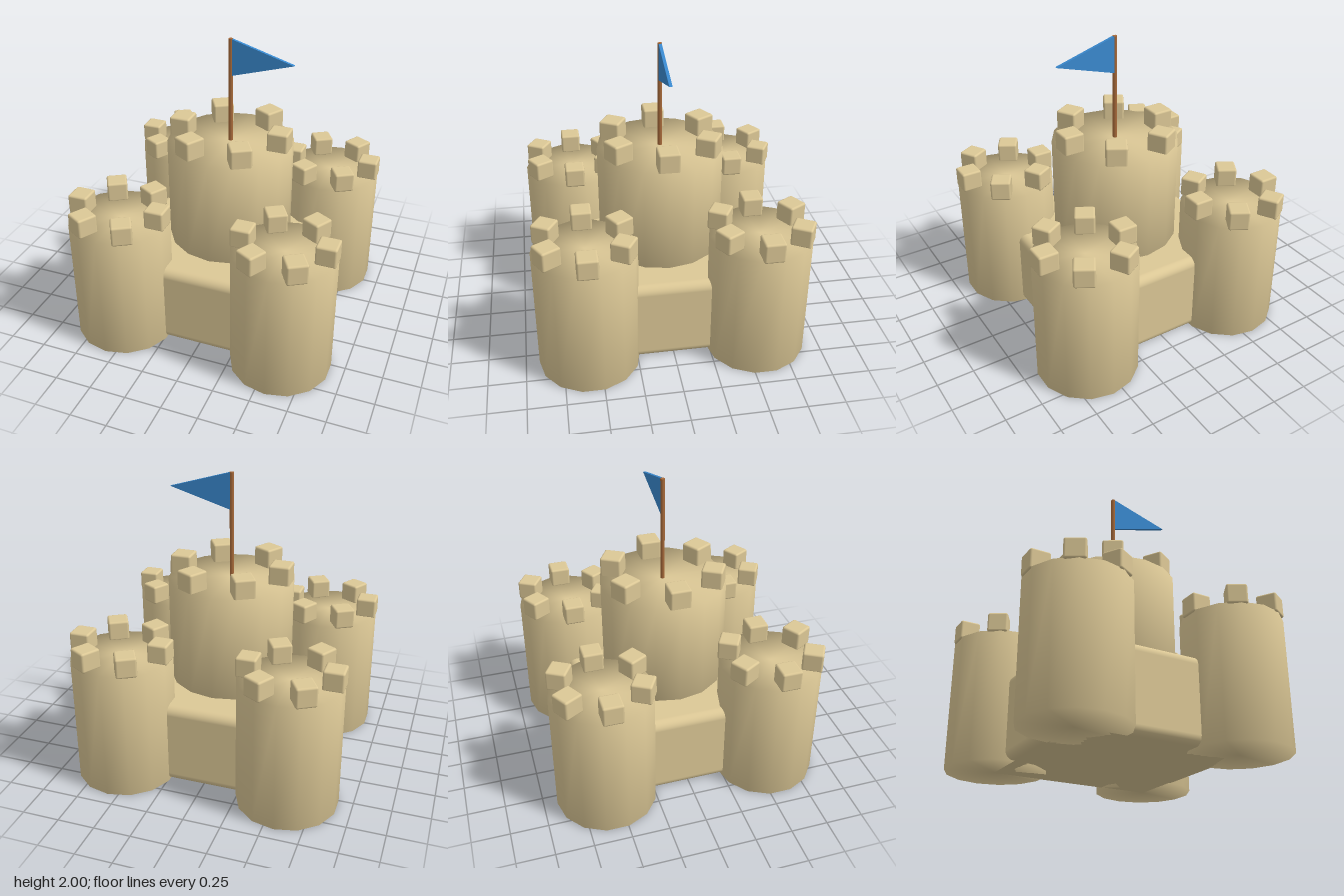
import * as THREE from 'three';
import { mergeVertices } from 'three/addons/utils/BufferGeometryUtils.js';
import { RoundedBoxGeometry } from 'three/addons/geometries/RoundedBoxGeometry.js';

const sand = new THREE.MeshStandardMaterial({ name: 'sand', color: 0xdcc896 });
const wood = new THREE.MeshStandardMaterial({ name: 'wood', color: 0xa86a3a });
const cloth = new THREE.MeshStandardMaterial({ name: 'flagBlue', color: 0x3a8ad0 });

function addMesh(parent, name, geometry, material, x = 0, y = 0, z = 0) {
  const mesh = new THREE.Mesh(geometry, material);
  mesh.name = name;
  mesh.position.set(x, y, z);
  parent.add(mesh);
  return mesh;
}

// Closed cylinder whose normals blend softly over the rims, like packed sand
function softCylinder(radius, height, sides) {
  const raw = new THREE.CylinderGeometry(radius, radius, height, sides);
  raw.deleteAttribute('normal');
  raw.deleteAttribute('uv');
  const geometry = mergeVertices(raw);
  geometry.computeVertexNormals();
  return geometry;
}

// Round tower with six merlons around its rim
function makeTower(name, { radius, bottom, top, sides, merlon, merlonRing, merlonTop }) {
  const tower = new THREE.Group();
  tower.name = name;
  addMesh(tower, 'towerWall', softCylinder(radius, top - bottom, sides), sand, 0, (top + bottom) / 2, 0);
  const block = new RoundedBoxGeometry(merlon, merlon, merlon, 2, 0.014);
  for (let i = 0; i < 6; i++) {
    const a = (i * Math.PI) / 3;
    const mesh = addMesh(tower, 'merlon', block, sand,
      Math.cos(a) * merlonRing, merlonTop - merlon / 2, Math.sin(a) * merlonRing);
    mesh.rotation.y = -a;
  }
  return tower;
}

export function createModel() {
  const castle = new THREE.Group();
  castle.name = 'sandcastle';

  // Square keep base
  addMesh(castle, 'base', new RoundedBoxGeometry(1.28, 0.57, 1.28, 4, 0.06), sand, 0, 0.285, 0);

  // Four corner towers
  for (const x of [-1, 1]) {
    for (const z of [-1, 1]) {
      const tower = makeTower('cornerTower', {
        radius: 0.34, bottom: 0, top: 0.885, sides: 14,
        merlon: 0.136, merlonRing: 0.275, merlonTop: 1.013,
      });
      tower.position.set(x * 0.57, 0, z * 0.57);
      castle.add(tower);
    }
  }

  // Central tower
  castle.add(makeTower('centralTower', {
    radius: 0.427, bottom: 0.55, top: 1.287, sides: 16,
    merlon: 0.142, merlonRing: 0.345, merlonTop: 1.415,
  }));

  // Flagpole and pennant
  addMesh(castle, 'flagpole', new THREE.CylinderGeometry(0.015, 0.015, 0.72, 8), wood, 0, 1.64, 0);
  const pennant = new THREE.Shape();
  pennant.moveTo(0.005, 1.75);
  pennant.lineTo(0.425, 1.875);
  pennant.lineTo(0.005, 2);
  pennant.closePath();
  addMesh(castle, 'flag',
    new THREE.ExtrudeGeometry(pennant, { depth: 0.02, bevelEnabled: false }), cloth, 0, 0, -0.01);

  return castle;
}
